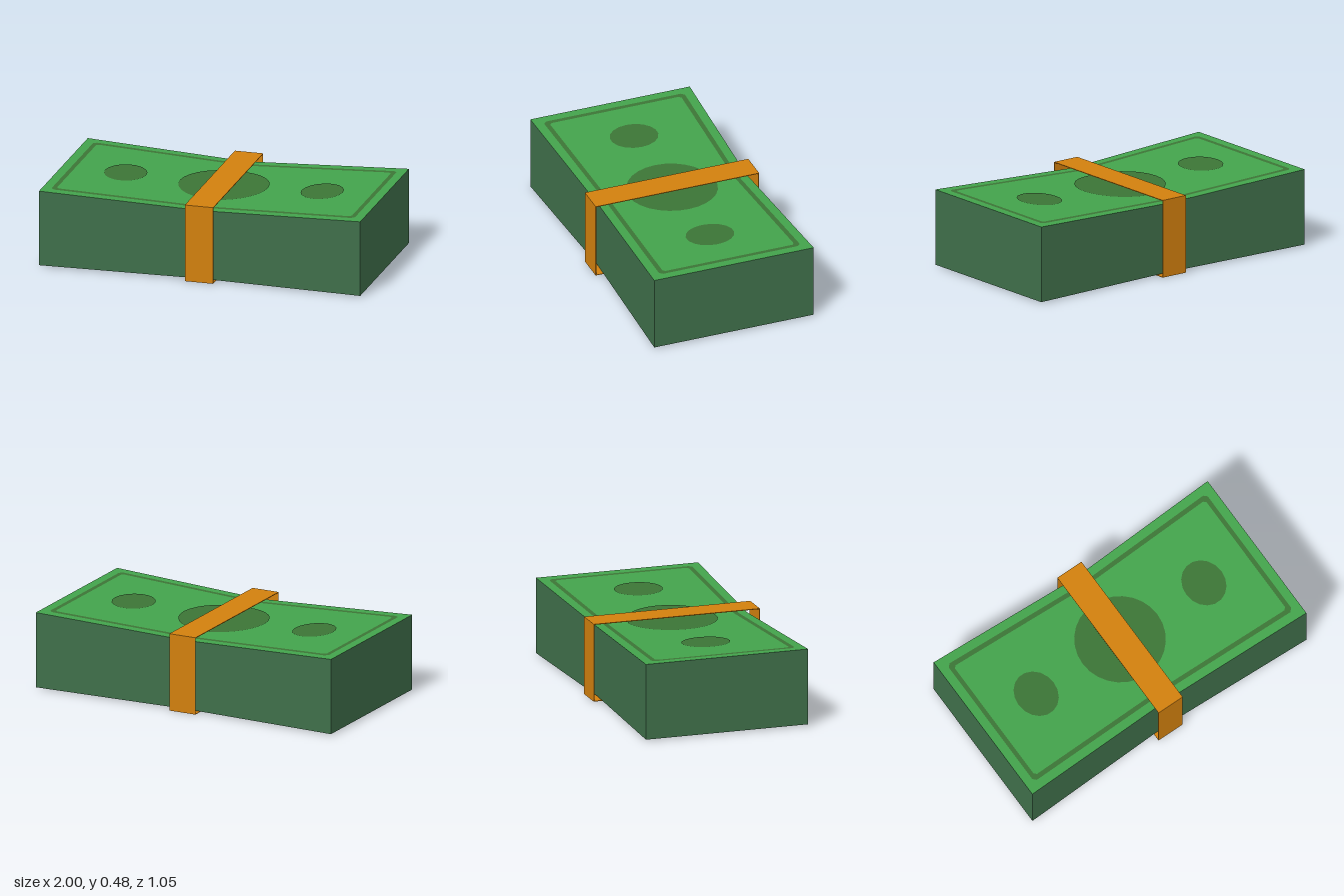
import * as THREE from 'three';

const mat = (name, color, side = THREE.FrontSide) => {
  const m = new THREE.MeshStandardMaterial({ color, side });
  m.name = name;
  return m;
};

// The stack is squeezed at the middle, where the band holds it
const BOTTOM = 0.008;
const topAt = x => 0.437 + 0.038 * Math.abs(x);
const halfDepthAt = x => 0.475 + 0.037 * Math.abs(x);

export function createModel() {
  const group = new THREE.Group();
  const paper = mat('paperGreen', 0x43a34c);
  const edge = mat('edgeGreen', 0x3f6f4a);
  const print = mat('printGreen', 0x3c7536);
  const orange = mat('bandOrange', 0xd2800e, THREE.DoubleSide);

  const add = (name, geometry, material) => {
    const mesh = new THREE.Mesh(geometry, material);
    mesh.name = name;
    group.add(mesh);
  };

  // Stack of notes: a box with one crease across the middle
  const box = new THREE.BoxGeometry(2, 1, 1, 2, 1, 1);
  const p = box.attributes.position;
  for (let i = 0; i < p.count; i++) {
    const x = p.getX(i);
    p.setXYZ(i, x, p.getY(i) > 0 ? topAt(x) : BOTTOM, Math.sign(p.getZ(i)) * halfDepthAt(x));
  }
  const stack = box.toNonIndexed();
  stack.computeVertexNormals();
  add('noteStack', stack, [edge, edge, paper, paper, edge, edge]);

  // Lays a flat outline on the top or bottom note; outlines never cross the crease
  const addPrint = (name, points, up, lift, squeeze) => {
    const g = new THREE.ShapeGeometry(new THREE.Shape(points));
    const q = g.attributes.position;
    for (let i = 0; i < q.count; i++) {
      const x = q.getX(i);
      const z = q.getY(i) * (squeeze ? halfDepthAt(x) / 0.512 : 1);
      q.setXYZ(i, x, up ? topAt(x) + lift : BOTTOM - lift, up ? -z : z);
    }
    g.computeVertexNormals();
    add(name, g, print);
  };

  const arc = (cx, rx, rz, from, to, n) => Array.from({ length: n + 1 }, (_, i) => {
    const a = from + (to - from) * i / n;
    return new THREE.Vector2(cx + rx * Math.cos(a), rz * Math.sin(a));
  });

  // Half of the printed border, with cut corners
  const outer = [[0, 0.455], [0.925, 0.455], [0.945, 0.435]];
  const inner = [[0.918, 0.41], [0.903, 0.425], [0, 0.425]];
  const flip = list => list.map(([x, z]) => [x, -z]).reverse();
  const border = [...outer, ...flip(outer), ...flip(inner), ...inner];

  for (const up of [true, false]) {
    const face = up ? 'top' : 'bottom';
    for (const s of [-1, 1]) {
      const half = arc(0, 0.273, 0.275, -Math.PI / 2, Math.PI / 2, 14);
      addPrint(face + 'CentreDisc', half.map(v => new THREE.Vector2(s * v.x, v.y)), up, 0.003, false);
      addPrint(face + 'SideDisc', arc(s * 0.612, 0.128, 0.149, 0, Math.PI * 2, 18).slice(0, -1), up, 0.003, false);
      addPrint(face + 'Border', border.map(([x, z]) => new THREE.Vector2(s * x, z)), up, 0.0006, true);
    }
  }

  // Paper band: a thin loop standing slightly clear of the stack
  const rect = (T, w, y0, y1) => new T([[-w, y0], [w, y0], [w, y1], [-w, y1]]
    .map(([x, y]) => new THREE.Vector2(x, y)));
  const loop = rect(THREE.Shape, 0.525, 0, 0.48);
  loop.holes.push(rect(THREE.Path, 0.521, 0.003, 0.476));
  const band = new THREE.ExtrudeGeometry(loop, { depth: 0.176, bevelEnabled: false });
  band.translate(0, 0, -0.088);
  band.rotateY(Math.PI / 2);
  add('paperBand', band, orange);

  return group;
}
